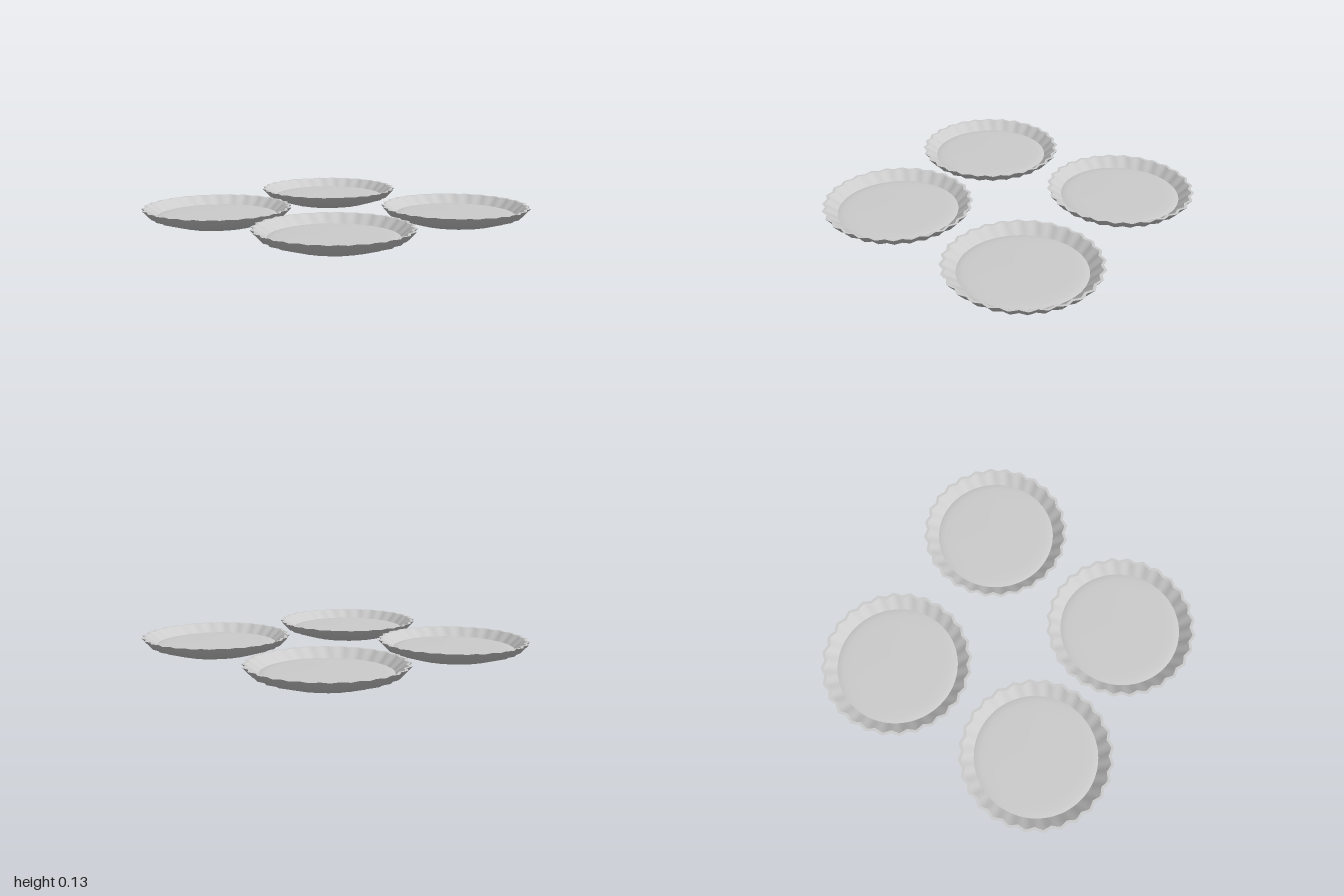
import * as THREE from 'three';
import { toCreasedNormals } from 'three/addons/utils/BufferGeometryUtils.js';

const FLUTES = 28;
const SEGMENTS = FLUTES * 4;
const DEPTH = 0.01;

// Lathe a profile, then ripple it; the flutes grow from nothing at radius "start" to full depth at "end"
function flutedLathe(profile, start, end) {
  const geometry = new THREE.LatheGeometry(profile.map(([r, y]) => new THREE.Vector2(r, y)), SEGMENTS);
  const pos = geometry.attributes.position;
  for (let i = 0; i < pos.count; i++) {
    const x = pos.getX(i), z = pos.getZ(i);
    const r = Math.hypot(x, z);
    if (r < 1e-6) continue;
    const wave = Math.cos(Math.atan2(z, x) * FLUTES);
    const k = 1 + (DEPTH * THREE.MathUtils.smoothstep(r, start, end) * wave) / r;
    pos.setX(i, x * k);
    pos.setZ(i, z * k);
  }
  geometry.deleteAttribute('normal');
  return toCreasedNormals(geometry, 1.0);
}

export function createModel() {
  const model = new THREE.Group();
  model.name = 'tarts';
  const material = new THREE.MeshStandardMaterial({ color: 0xcccccc, side: THREE.DoubleSide });

  // Parts of one tart, each running along the profile from the base to the middle of the filling
  const parts = {
    crustOutside: flutedLathe([[0, 0], [0.07, 0.004], [0.265, 0.03], [0.4, 0.073], [0.453, 0.13]], 0.2, 0.44),
    crustRim: flutedLathe([[0.453, 0.13], [0.435, 0.13]], 0.2, 0.435),
    crustInside: flutedLathe([[0.435, 0.13], [0.37, 0.077]], 0.37, 0.435),
    filling: new THREE.LatheGeometry([[0.37, 0.077], [0.355, 0.081], [0.33, 0.084], [0.27, 0.086], [0, 0.087]]
      .map(([r, y]) => new THREE.Vector2(r, y)), SEGMENTS),
  };

  // Four tarts, the front left one set a little closer in
  const places = [[-0.537, -0.51], [0.537, -0.51], [-0.537, 0.51], [0.43, 0.5]];
  for (const [x, z] of places) {
    const tart = new THREE.Group();
    tart.name = 'tart';
    for (const [name, geometry] of Object.entries(parts)) {
      const mesh = new THREE.Mesh(geometry, material);
      mesh.name = name;
      tart.add(mesh);
    }
    tart.position.set(x, 0, z);
    model.add(tart);
  }
  return model;
}
